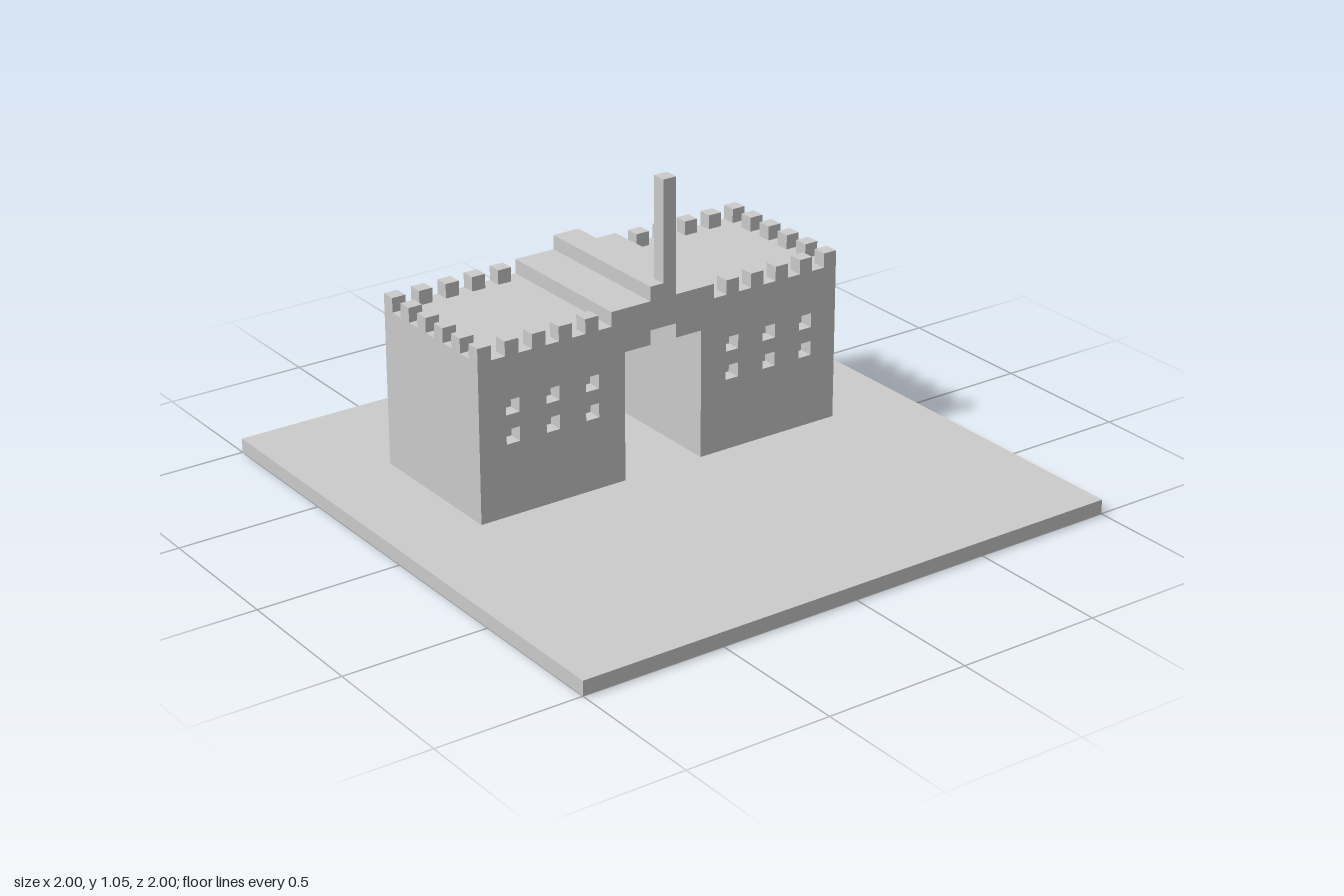
import * as THREE from 'three';

const U = 0.05; // block unit: merlons, windows, steps and mast are all this wide

export function createModel() {
  const castle = new THREE.Group();
  castle.name = 'castle';
  const material = new THREE.MeshStandardMaterial({ color: 0xcccccc, flatShading: true });

  const add = (name, geometry, x = 0, y = 0, z = 0, parent = castle) => {
    const mesh = new THREE.Mesh(geometry, material);
    mesh.name = name;
    mesh.position.set(x, y, z);
    parent.add(mesh);
    return mesh;
  };

  // Ground slab
  add('ground', new THREE.BoxGeometry(2, U, 2), 0, U / 2, 0);

  // Gatehouse outline: two blocks joined by a stepped roof over a stepped arch
  const half = [
    [0.05, 0.55], [0.05, 0.5], [0.15, 0.5], [0.15, U], [0.7, U],
    [0.7, 0.6], [0.2, 0.6], [0.2, 0.65], [0.05, 0.65], [0.05, 0.7],
  ];
  const mirrored = half.map(([x, y]) => [-x, y]).reverse();
  const outline = () => new THREE.Shape([...half, ...mirrored].map(([x, y]) => new THREE.Vector2(x, y)));
  const extrude = (shape, depth) => new THREE.ExtrudeGeometry(shape, { depth, bevelEnabled: false });

  // Front wall with square window recesses
  const front = outline();
  for (const x of [0.275, 0.425, 0.575]) {
    for (const y of [0.325, 0.425]) {
      for (const side of [-1, 1]) {
        const cx = side * x, h = U / 2;
        front.holes.push(new THREE.Path([[-h, -h], [-h, h], [h, h], [h, -h]]
          .map(([dx, dy]) => new THREE.Vector2(cx + dx, y + dy))));
      }
    }
  }
  add('frontWall', extrude(front, U), 0, 0, -U);

  // Solid body behind the front wall
  add('gatehouseBody', extrude(outline(), 0.5), 0, 0, -0.55);

  // Battlements along the front, back and outer edges
  const battlements = new THREE.Group();
  battlements.name = 'battlements';
  castle.add(battlements);
  const block = new THREE.BoxGeometry(U, U, U);
  for (const side of [-1, 1]) {
    for (let i = 0; i < 5; i++) {
      const x = side * (0.275 + i * 0.1);
      add('merlon', block, x, 0.625, -0.025, battlements);
      add('merlon', block, x, 0.625, -0.525, battlements);
    }
    for (let i = 1; i < 5; i++) {
      add('merlon', block, side * 0.675, 0.625, -0.025 - i * 0.1, battlements);
    }
  }

  // Mast standing on the roof ridge
  add('mast', new THREE.BoxGeometry(U, 0.35, U), 0.025, 0.875, -0.025);

  return castle;
}
